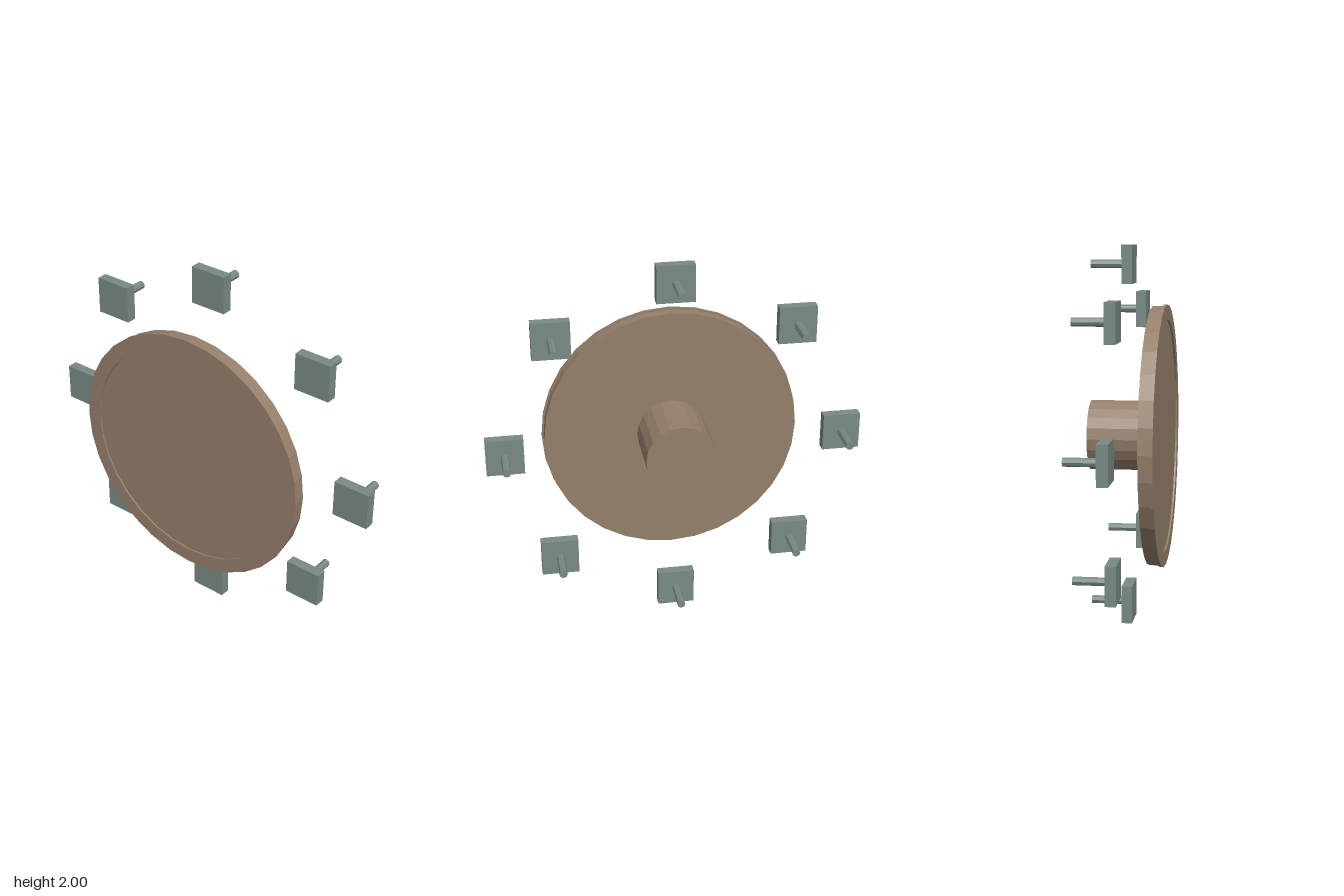
import * as THREE from 'three';

export function createModel() {
  const model = new THREE.Group();
  const brown = new THREE.MeshStandardMaterial({ name: 'warm brown', color: 0x957f6b, flatShading: true });
  const grey = new THREE.MeshStandardMaterial({ name: 'grey green', color: 0x788a83, flatShading: true });

  const add = (parent, name, geometry, material, x = 0, y = 0, z = 0) => {
    const mesh = new THREE.Mesh(geometry, material);
    mesh.name = name;
    mesh.position.set(x, y, z);
    parent.add(mesh);
    return mesh;
  };

  // Round plate with a raised front rim, turned around the z axis
  const profile = [
    [0, 0.125], [0.683, 0.125], [0.683, 0.183], [0.692, 0.183],
    [0.692, 0.2], [0.612, 0.2], [0.612, 0.19], [0, 0.19],
  ].map(([r, z]) => new THREE.Vector2(r, z));
  add(model, 'disc', new THREE.LatheGeometry(profile, 32).rotateX(Math.PI / 2), brown, 0, 1, 0);

  // Hub behind the disc
  const hub = new THREE.CylinderGeometry(0.185, 0.185, 0.325, 20).rotateX(Math.PI / 2);
  add(model, 'hub', hub, brown, 0, 1, -0.0375);

  // Ring of eight upright square markers, each on a short rear peg
  const plate = new THREE.BoxGeometry(0.2, 0.2, 0.056);
  const peg = new THREE.CylinderGeometry(0.022, 0.022, 0.172, 8).rotateX(Math.PI / 2);
  for (let i = 0; i < 8; i++) {
    const angle = (i * Math.PI) / 4;
    const marker = new THREE.Group();
    marker.name = 'marker' + (i + 1);
    marker.position.set(0.9 * Math.cos(angle), 1 + 0.9 * Math.sin(angle), 0);
    add(marker, 'markerPlate', plate, grey);
    add(marker, 'markerPeg', peg, grey, 0, 0, -0.114);
    model.add(marker);
  }
  return model;
}
